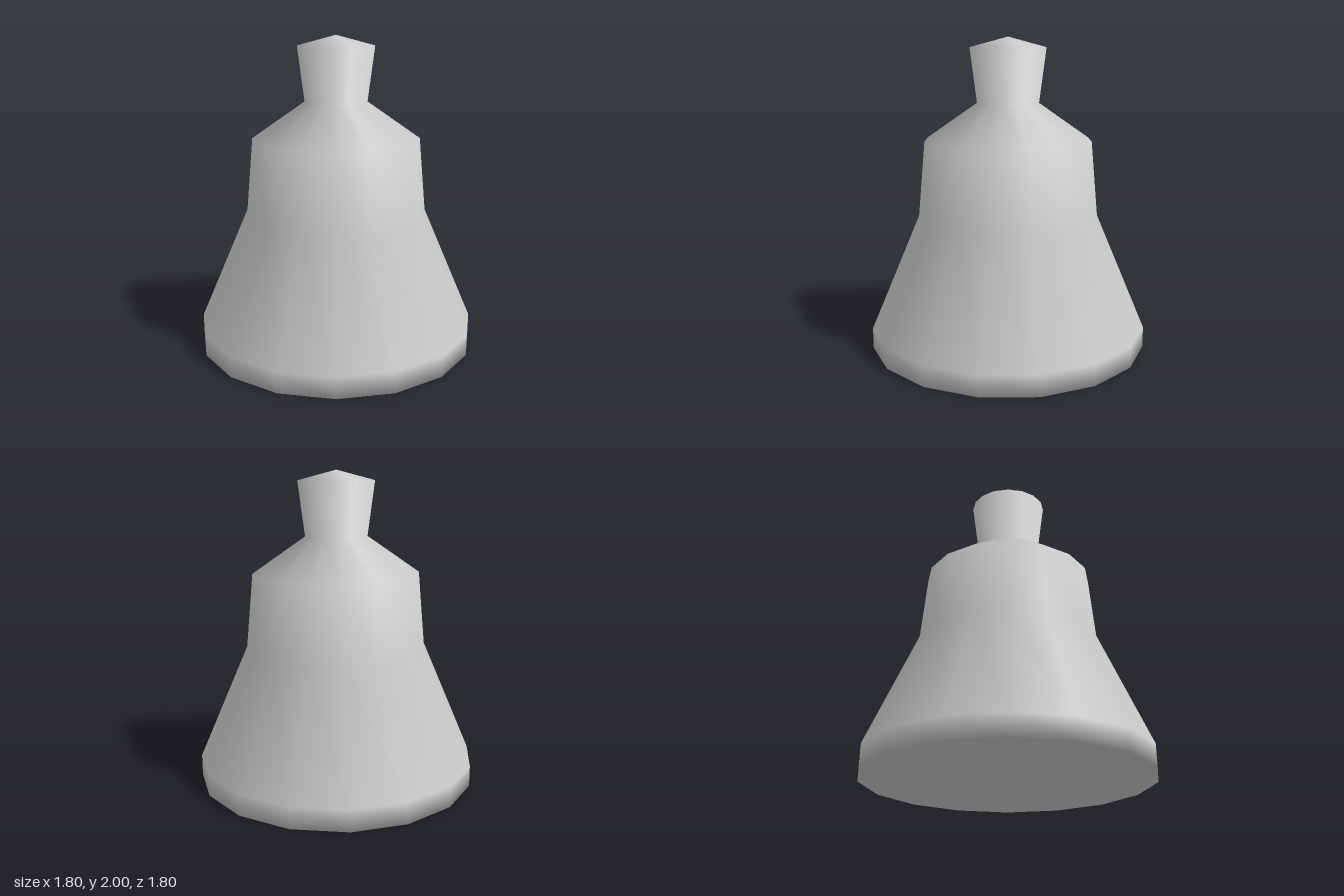
import * as THREE from 'three';

export function createModel() {
  const group = new THREE.Group();
  group.name = 'bell';

  const grey = new THREE.MeshStandardMaterial({ color: 0xcccccc });
  grey.name = 'light grey';

  // Closed profile: flat base, rim, flared skirt, waist, shoulder, neck, flared knob
  const profile = [
    [0, 0], [0.9, 0], [0.9, 0.135], [0.582, 0.875],
    [0.538, 1.35], [0.2, 1.585], [0.245, 1.935], [0, 2],
  ].map(([r, y]) => new THREE.Vector2(r, y));

  const geometry = new THREE.LatheGeometry(profile, 16);

  // One shared upward normal at the tip keeps the knob top smooth
  const { position, normal } = geometry.attributes;
  for (let i = 0; i < position.count; i++) {
    if (position.getY(i) > 1.999) normal.setXYZ(i, 0, 1, 0);
  }

  const body = new THREE.Mesh(geometry, grey);
  body.name = 'bellBody';
  group.add(body);
  return group;
}
